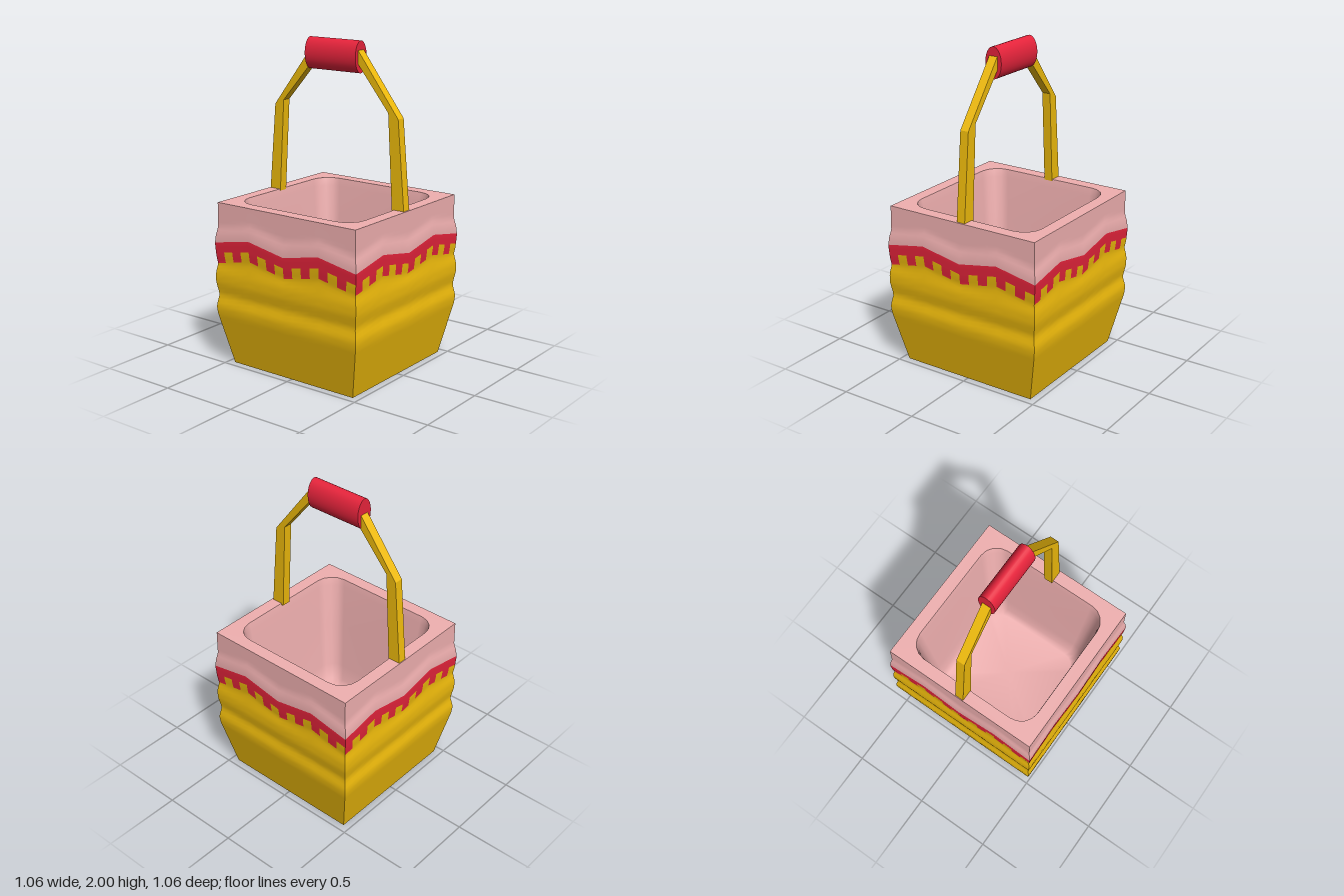
import * as THREE from 'three';
import { mergeGeometries } from 'three/addons/utils/BufferGeometryUtils.js';

const yellow = new THREE.MeshStandardMaterial({ color: 0xf0bc0c });
const red = new THREE.MeshStandardMaterial({ color: 0xe8243c });
const pink = new THREE.MeshStandardMaterial({ color: 0xf0b0b0, side: THREE.DoubleSide });

const TOP = 1.03, CELLS = 16;

// Half width of the basket by height: [y, half width]
const PROFILE = [
  [0, 0.455], [0.33, 0.525], [0.38, 0.529], [0.45, 0.515], [0.53, 0.529], [0.59, 0.529],
  [0.66, 0.518], [0.72, 0.525], [0.8, 0.53], [0.85, 0.526], [0.9, 0.515], [1.03, 0.514],
];
function profile(y) {
  let i = 1;
  while (i < PROFILE.length - 1 && y > PROFILE[i][0]) i++;
  const [y0, h0] = PROFILE[i - 1], [y1, h1] = PROFILE[i];
  return h0 + (h1 - h0) * (y - y0) / (y1 - y0);
}

// Zigzag hem of the cloth: low at the corners and middle, high at the quarters
const hem = (u) => 0.78 + 0.05 * (1 - Math.abs(2 * Math.abs(u) - 1));

// A point on the front wall; the upper bulges follow the zigzag
function wallPoint(u, y) {
  const w = THREE.MathUtils.smoothstep(y, 0.58, 0.7) * (1 - THREE.MathUtils.smoothstep(y, 0.9, TOP));
  const h = profile(y - (hem(u) - 0.805) * w);
  return new THREE.Vector3(u * h, y, h);
}

// Part of a wall between two height functions, with normals from the slope
function patch(u0, u1, low, high, nu, ny) {
  const pos = [], nor = [], idx = [];
  for (let j = 0; j <= ny; j++) {
    for (let i = 0; i <= nu; i++) {
      const u = u0 + (u1 - u0) * i / nu;
      const y = low(u) + (high(u) - low(u)) * j / ny;
      const du = wallPoint(u + 0.04, y).sub(wallPoint(u - 0.04, y));
      const dy = wallPoint(u, Math.min(y + 0.02, TOP)).sub(wallPoint(u, Math.max(y - 0.02, 0)));
      pos.push(...wallPoint(u, y).toArray());
      nor.push(...du.cross(dy).normalize().toArray());
      if (i < nu && j < ny) {
        const a = j * (nu + 1) + i, b = a + nu + 1;
        idx.push(a, a + 1, b + 1, a, b + 1, b);
      }
    }
  }
  const g = new THREE.BufferGeometry();
  g.setAttribute('position', new THREE.Float32BufferAttribute(pos, 3));
  g.setAttribute('normal', new THREE.Float32BufferAttribute(nor, 3));
  g.setIndex(idx);
  return g;
}

// Repeat a wall on all four sides
function fourSides(parts) {
  const wall = mergeGeometries(parts);
  return mergeGeometries([0, 1, 2, 3].map((k) => wall.clone().rotateY(k * Math.PI / 2)));
}

// Rounded square outline of the opening
function openingOutline(half, r) {
  const pts = [];
  for (let c = 0; c < 4; c++) {
    const mid = Math.PI / 4 + c * Math.PI / 2;
    const cx = Math.sign(Math.cos(mid)) * (half - r), cy = Math.sign(Math.sin(mid)) * (half - r);
    for (let i = 0; i <= 4; i++) {
      const a = (c + i / 4) * Math.PI / 2;
      pts.push(new THREE.Vector2(cx + r * Math.cos(a), cy + r * Math.sin(a)));
    }
  }
  return pts;
}

// Sloping inner walls running smoothly into the floor
function liningGeometry(outline) {
  const rows = [[TOP, 1], [0.98, 0.98], [0.7, 0.915], [0.4, 0.845], [0.29, 0.81], [0.25, 0.74], [0.25, 0]];
  const n = outline.length, pos = [], idx = [];
  rows.forEach(([y, s], j) => outline.forEach((p, i) => {
    pos.push(p.x * s, y, p.y * s);
    if (j === rows.length - 1) return;
    const a = j * n + i, b = j * n + (i + 1) % n;
    idx.push(a, a + n, b);
    if (j < rows.length - 2) idx.push(b, a + n, b + n);
  }));
  const g = new THREE.BufferGeometry();
  g.setAttribute('position', new THREE.Float32BufferAttribute(pos, 3));
  g.setIndex(idx);
  g.computeVertexNormals();
  return g;
}

export function createModel() {
  const model = new THREE.Group();
  const add = (name, geometry, material) => {
    const m = new THREE.Mesh(geometry, material);
    m.name = name;
    model.add(m);
    return m;
  };

  // Walls: yellow body, red trim with alternating teeth, pink cloth
  const trimLow = (u) => hem(u) - 0.065, toothLow = (u) => hem(u) - 0.13;
  const body = [patch(-1, 1, () => 0, toothLow, CELLS, 28)];
  const trim = [patch(-1, 1, trimLow, hem, CELLS, 4)];
  for (let i = 0; i < CELLS; i++) {
    const u = -1 + 2 * i / CELLS;
    (i % 2 ? body : trim).push(patch(u, u + 2 / CELLS, toothLow, trimLow, 1, 4));
  }
  add('basketBody', fourSides(body), yellow);
  add('clothTrim', fourSides(trim), red);
  add('clothBand', fourSides([patch(-1, 1, hem, () => TOP, CELLS, 10)]), pink);
  add('basketBottom', new THREE.PlaneGeometry(0.91, 0.91).rotateX(Math.PI / 2), yellow);

  // Rim and lining
  const outline = openingOutline(0.435, 0.12);
  const e = 0.514;
  const rim = new THREE.Shape([[-e, -e], [e, -e], [e, e], [-e, e]].map((p) => new THREE.Vector2(...p)));
  rim.holes.push(new THREE.Path(outline));
  add('clothRim', new THREE.ShapeGeometry(rim).rotateX(-Math.PI / 2).translate(0, TOP, 0), pink);
  add('clothLining', liningGeometry(outline), pink);

  // Handle: two bent flat straps meeting inside the grip
  const straps = {
    rightStrap: [[-0.51, 1.02], [-0.43, 1.02], [-0.395, 1.6], [-0.2, 1.82], [-0.1, 1.87], [-0.1, 1.93], [-0.2, 1.91], [-0.462, 1.57]],
    leftStrap: [[0.505, 1.02], [0.457, 1.57], [0.17, 1.945], [0.1, 1.94], [0.1, 1.88], [0.17, 1.865], [0.387, 1.6], [0.42, 1.02]],
  };
  for (const [name, pts] of Object.entries(straps)) {
    const shape = new THREE.Shape(pts.map((p) => new THREE.Vector2(...p)));
    const g = new THREE.ExtrudeGeometry(shape, { depth: 0.056, bevelEnabled: false });
    add(name, g.translate(0, 0, -0.028), yellow);
  }

  // Oval grip
  const grip = new THREE.CylinderGeometry(1, 1, 0.375, 32).rotateZ(Math.PI / 2).scale(1, 0.096, 0.056);
  add('handleGrip', grip, red).position.set(-0.017, 1.904, 0);

  return model;
}
